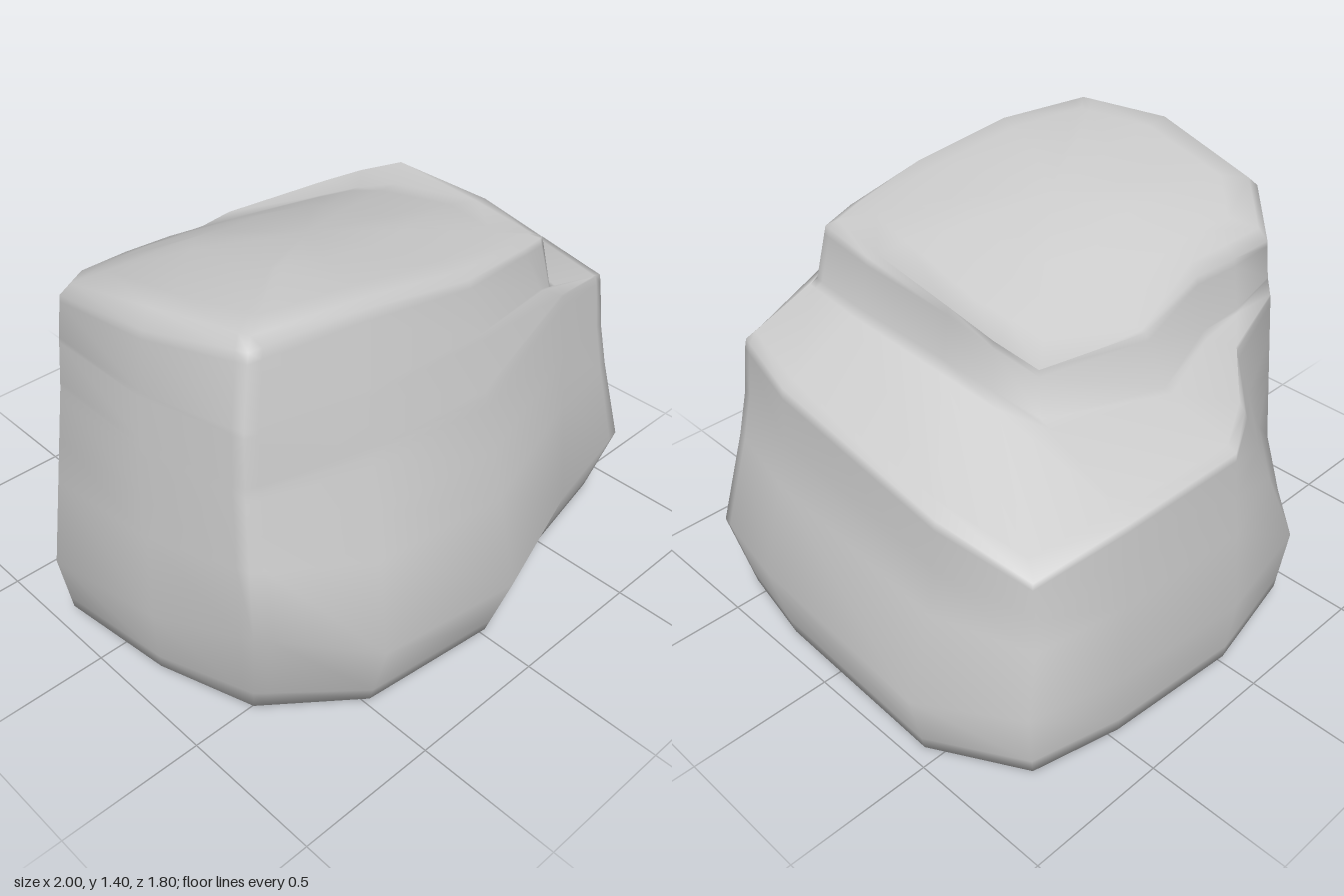
import * as THREE from 'three';

const points = (list) => list.map((p) => new THREE.Vector3(...p));
const between = (from, to, t) => from.map((p, i) => p.clone().lerp(to[i], t));

// Outlines run back -> right -> front -> left, one point per column.
// Widest outline, near the ground but higher at the chamfered front left corner.
const girth = points([
  [0, 0.28, -0.9], [0.5, 0.28, -0.86], [0.82, 0.28, -0.78], [1, 0.25, -0.45], [0.98, 0.28, 0.3],
  [0.92, 0.28, 0.63], [0.48, 0.28, 0.73], [0, 0.3, 0.9], [-0.53, 0.33, 0.85], [-0.88, 0.49, 0.65],
  [-0.95, 0.34, 0.25], [-1, 0.3, -0.2], [-0.82, 0.28, -0.4], [-0.58, 0.28, -0.63], [-0.41, 0.28, -0.81],
]);

// Outer edge of the ledge; on the front and left it is just part of the wall.
const ledge = points([
  [0, 0.86, -0.84], [0.45, 0.84, -0.82], [0.77, 0.77, -0.75], [0.86, 0.87, -0.45], [0.86, 0.98, 0.25],
  [0.78, 0.99, 0.56], [0.51, 1.04, 0.61], [0, 0.95, 0.73], [-0.45, 0.95, 0.69], [-0.83, 0.95, 0.58],
  [-0.9, 0.95, 0.2], [-0.9, 0.95, -0.2], [-0.71, 0.94, -0.42], [-0.4, 0.9, -0.52], [-0.18, 0.87, -0.73],
]);

// Foot of the step that carries the raised cap.
const step = points([
  [0, 0.96, -0.55], [0.41, 0.98, -0.42], [0.47, 1.04, -0.28], [0.51, 1.09, -0.1], [0.52, 1.11, 0.28],
  [0.47, 1.08, 0.58], [0.38, 1.12, 0.61], [0, 1.15, 0.68], [-0.44, 1.15, 0.65], [-0.81, 1.15, 0.56],
  [-0.88, 1.13, 0.2], [-0.87, 1.11, -0.22], [-0.71, 1.01, -0.4], [-0.52, 0.97, -0.42], [-0.33, 0.97, -0.43],
]);

// Upper rim of the cap.
const rim = points([
  [0, 1.12, -0.46], [0.39, 1.13, -0.39], [0.45, 1.2, -0.26], [0.49, 1.27, -0.11], [0.48, 1.28, 0.28],
  [0.43, 1.27, 0.56], [0.3, 1.29, 0.59], [0, 1.32, 0.63], [-0.4, 1.38, 0.6], [-0.76, 1.37, 0.53],
  [-0.86, 1.33, 0.2], [-0.85, 1.25, -0.22], [-0.7, 1.15, -0.39], [-0.52, 1.15, -0.39], [-0.34, 1.15, -0.38],
]);

// Sloping top surface, falling to the right and, more steeply, to the back.
const topHeight = (x, z) => 1.4 - 0.14 * Math.max(0, x + 0.4)
  - 0.22 * Math.max(0, 0.25 - z) - 0.3 * Math.max(0, -0.15 - z);
const topRing = (scale) => rim.map((p) => {
  const x = -0.2 + (p.x + 0.2) * scale;
  const z = 0.1 + (p.z - 0.1) * scale;
  return new THREE.Vector3(x, topHeight(x, z), z);
});

// Adds a column on both sides of each front corner, so it stays crisp under smooth shading.
const frontCorners = [5, 9];
const tighten = (ring) => ring.flatMap((p, i) => (frontCorners.includes(i)
  ? [p.clone().lerp(ring[i - 1], 0.12), p, p.clone().lerp(ring[i + 1], 0.12)]
  : [p]));

// Joins rings of equal length from bottom to top and closes both ends.
function loft(rings) {
  const n = rings[0].length;
  const position = rings.flat().flatMap((p) => p.toArray());
  const index = [];
  for (let r = 0; r < rings.length - 1; r++) {
    for (let i = 0; i < n; i++) {
      const a = r * n + i;
      const b = r * n + ((i + 1) % n);
      index.push(a, a + n, b + n, a, b + n, b);
    }
  }
  const addEnd = (ring, start, up) => {
    const c = ring.reduce((s, p) => s.add(p), new THREE.Vector3()).divideScalar(n);
    if (up) c.y = topHeight(c.x, c.z);
    const centre = position.length / 3;
    position.push(...c.toArray());
    for (let i = 0; i < n; i++) {
      const a = start + i;
      const b = start + ((i + 1) % n);
      index.push(centre, ...(up ? [b, a] : [a, b]));
    }
  };
  addEnd(rings[0], 0, false);
  addEnd(rings[rings.length - 1], (rings.length - 1) * n, true);
  const geometry = new THREE.BufferGeometry();
  geometry.setAttribute('position', new THREE.Float32BufferAttribute(position, 3));
  geometry.setIndex(index);
  geometry.computeVertexNormals();
  return geometry;
}

export function createModel() {
  const group = new THREE.Group();
  group.name = 'boulder';

  // Underside and foot follow the widest outline, cut back under the front left corner.
  const underside = girth.map((p) => new THREE.Vector3(p.x * 0.82, 0, p.z * 0.7 - 0.04));
  const foot = girth.map((p) => new THREE.Vector3(p.x * 0.95, 0.03 - 0.02 * p.x, p.z * 0.93 - 0.03));
  foot[9].set(-0.79, 0.04, 0.53);

  // Waist and shoulder, slightly hollow on the right.
  const hollow = (t) => between(girth, ledge, t).map((p) => p.setX(p.x > 0.6 ? p.x * 0.975 : p.x));

  // Rings close to an edge keep it tight.
  const rings = [
    underside, foot, between(foot, girth, 0.2), girth, hollow(0.48), hollow(0.72),
    between(girth, ledge, 0.95), ledge, between(ledge, step, 0.12), between(ledge, step, 0.9), step,
    between(step, rim, 0.85), rim, topRing(0.95), topRing(0.8), topRing(0.45),
  ];
  const material = new THREE.MeshStandardMaterial({ color: 0xcccccc });
  const rock = new THREE.Mesh(loft(rings.map(tighten)), material);
  rock.name = 'rock';
  group.add(rock);
  return group;
}
